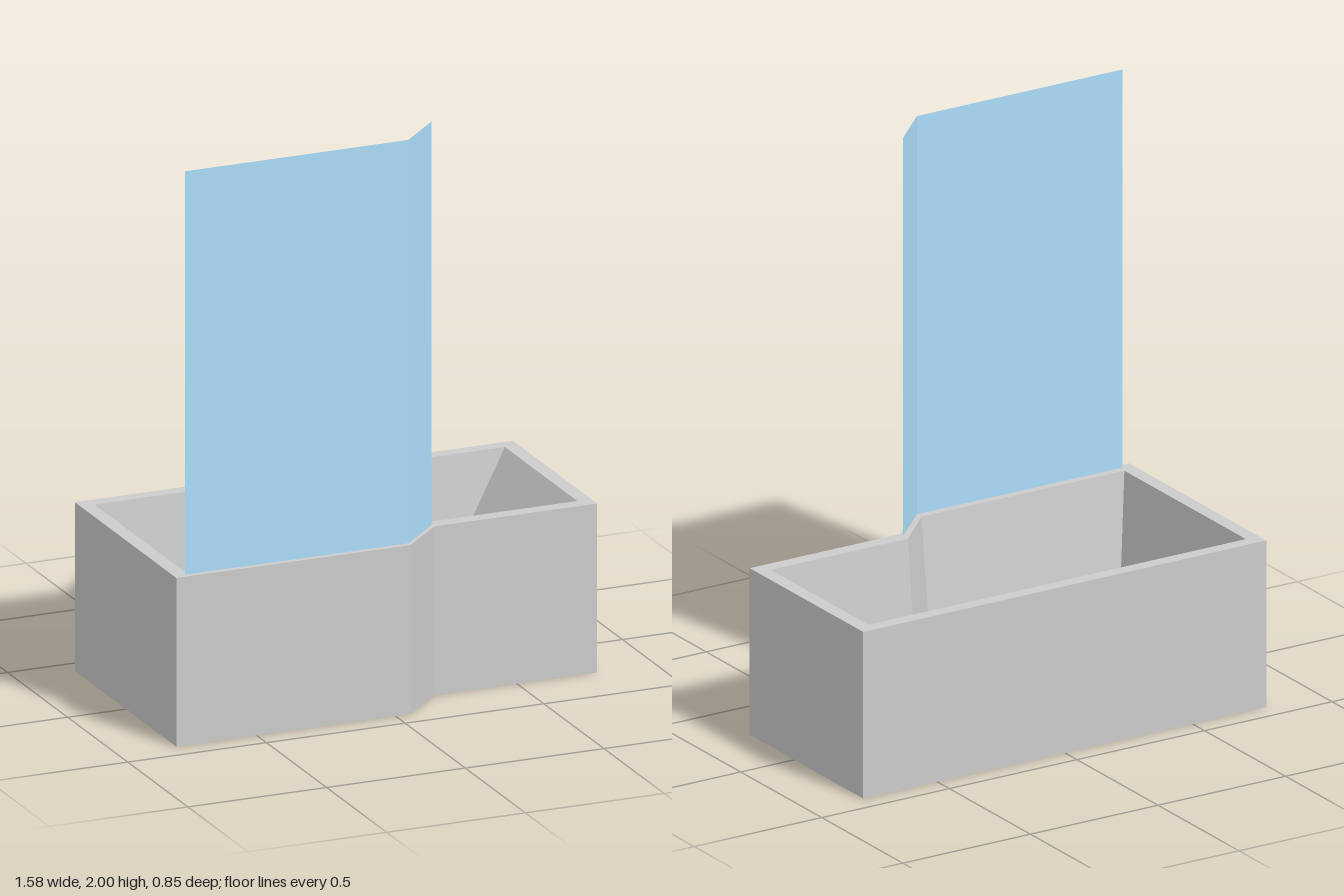
import * as THREE from 'three';

const RIM = 0.59, FLOOR = 0.16, TOP = 2;

// L-shaped plan outline [x, z], counter-clockwise seen from above
const outline = (xMin, xMax, zBack, zFront, zStep) => [
  [xMin, zFront], [0.055, zFront], [0.202, zStep], [xMax, zStep], [xMax, zBack], [xMin, zBack],
];
const outer = outline(-0.79, 0.79, -0.425, 0.42, 0.275);
const inner = outline(-0.74, 0.74, -0.378, 0.372, 0.225);
const base = outline(-0.69, 0.49, -0.325, 0.32, 0.175);

// Flat-shaded strip of quads joining two outlines at two heights
function band(a, ya, b, yb, closed = true) {
  const pos = [];
  const count = closed ? a.length : a.length - 1;
  for (let i = 0; i < count; i++) {
    const j = (i + 1) % a.length;
    const p = [a[i][0], ya, a[i][1]], q = [a[j][0], ya, a[j][1]];
    const r = [b[j][0], yb, b[j][1]], s = [b[i][0], yb, b[i][1]];
    pos.push(...p, ...q, ...r, ...p, ...r, ...s);
  }
  const geo = new THREE.BufferGeometry();
  geo.setAttribute('position', new THREE.Float32BufferAttribute(pos, 3));
  geo.computeVertexNormals();
  return geo;
}

// Horizontal plate with one hole
function plate(points, hole, y) {
  const shape = new THREE.Shape(points.map(([x, z]) => new THREE.Vector2(x, -z)));
  shape.holes.push(hole);
  return new THREE.ShapeGeometry(shape, 16).rotateX(-Math.PI / 2).translate(0, y, 0);
}
const holePath = (points) => new THREE.Path(points.map(([x, z]) => new THREE.Vector2(x, -z)));

export function createModel() {
  const group = new THREE.Group();
  const grey = new THREE.MeshStandardMaterial({ color: 0xcccccc, side: THREE.DoubleSide });
  const glass = new THREE.MeshStandardMaterial({ color: 0xabdcfa, side: THREE.DoubleSide });
  const add = (name, geo, mat = grey) => {
    const mesh = new THREE.Mesh(geo, mat);
    mesh.name = name;
    group.add(mesh);
  };

  // Tub casing with its rim and open underside
  add('outerPanels', band(outer, 0, outer, RIM));
  add('rim', plate(outer, holePath(inner), RIM));
  add('bottomEdge', plate(outer, holePath(inner), 0));

  // Basin: sloping walls above, flared recess below, floor with drain hole
  add('basinWalls', band(inner, RIM, base, FLOOR));
  add('undersideWalls', band(base, FLOOR, inner, 0));
  const drain = new THREE.Path().absarc(0.076, -0.182, 0.05, 0, Math.PI * 2, true);
  add('basinFloor', plate(base, drain, FLOOR));

  // Angled glass screen standing on the front rim
  const screenLine = [[-0.75, 0.4], [0.055, 0.4], [0.202, 0.255]];
  add('glassScreen', band(screenLine, RIM, screenLine, TOP, false), glass);

  return group;
}
